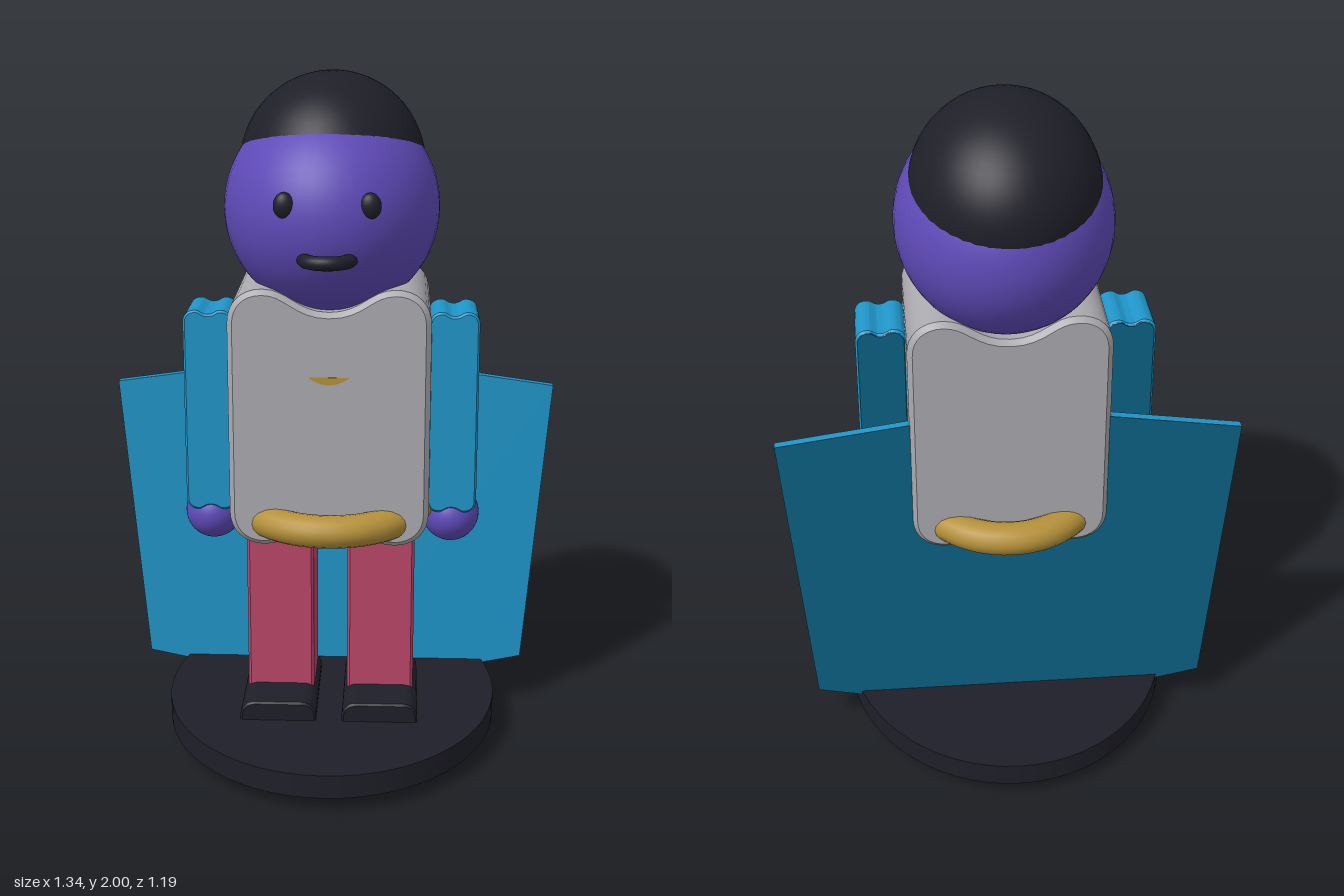
import * as THREE from 'three';
import { toCreasedNormals } from 'three/addons/utils/BufferGeometryUtils.js';

const mat = (name, color) => {
  const m = new THREE.MeshStandardMaterial({ color });
  m.name = name;
  return m;
};

// Soft block: rounded corners with a shallow valley in its top and bottom
function softBlock(w, y0, y1, depth, r, dip, bevel) {
  const h = (y1 - y0) / 2, p = w - r, s = new THREE.Shape();
  s.moveTo(-w, -h + r);
  s.lineTo(-w, h - r);
  s.bezierCurveTo(-w, h - r * 0.4, -p - r * 0.6, h, -p, h);
  s.bezierCurveTo(-p * 0.6, h, -p * 0.5, h - dip, 0, h - dip);
  s.bezierCurveTo(p * 0.5, h - dip, p * 0.6, h, p, h);
  s.bezierCurveTo(p + r * 0.6, h, w, h - r * 0.4, w, h - r);
  s.lineTo(w, -h + r);
  s.bezierCurveTo(w, -h + r * 0.4, p + r * 0.6, -h, p, -h);
  s.bezierCurveTo(p * 0.6, -h, p * 0.5, -h + dip, 0, -h + dip);
  s.bezierCurveTo(-p * 0.5, -h + dip, -p * 0.6, -h, -p, -h);
  s.bezierCurveTo(-p - r * 0.6, -h, -w, -h + r * 0.4, -w, -h + r);
  const g = new THREE.ExtrudeGeometry(s, {
    depth: depth - 2 * bevel, curveSegments: 8, bevelEnabled: true,
    bevelThickness: bevel, bevelSize: bevel, bevelOffset: -bevel, bevelSegments: 1,
  });
  g.translate(0, (y0 + y1) / 2, -depth / 2 + bevel);
  return toCreasedNormals(g, 0.6);
}

const plate = (shape, depth) => new THREE.ExtrudeGeometry(shape, { depth, bevelEnabled: false });

export function createModel() {
  const root = new THREE.Group();
  root.name = 'capedFigure';
  const skin = mat('purpleSkin', 0x5f4ab8), dark = mat('charcoal', 0x1f1f29);
  const grey = mat('greyTunic', 0xabaaaf), pink = mat('pinkTrousers', 0xbb476a);
  const teal = mat('tealCloth', 0x1f95c8), deepTeal = mat('deepTealBack', 0x0d6286);
  const gold = mat('goldTrim', 0xb5913a);

  const add = (name, geometry, material, x = 0, y = 0, z = 0) => {
    const m = new THREE.Mesh(geometry, material);
    m.name = name;
    m.position.set(x, y, z);
    root.add(m);
    return m;
  };

  // Oval stand
  add('base', new THREE.CylinderGeometry(0.5, 0.5, 0.07, 64), dark, 0, 0.08, 0).scale.z = 1.19;

  // Flat cape behind the body, with a deeper colour on its back
  const cape = new THREE.Shape([
    [-0.672, 1.035], [-0.597, 0.13], [0, 0.003], [0.597, 0.13], [0.672, 1.035], [0, 1.13],
  ].map(([x, y]) => new THREE.Vector2(x, y)));
  add('cape', plate(cape, 0.024), teal, 0, 0, -0.22);
  add('capeBack', plate(cape, 0.003), deepTeal, 0, 0, -0.223);

  // Torso, belt ring and small chest badge
  add('torso', softBlock(0.288, 0.662, 1.42, 0.472, 0.1, 0.065, 0.015), grey);
  const belt = new THREE.TorusGeometry(0.26, 0.047, 16, 64).rotateX(Math.PI / 2);
  add('belt', belt, gold, 0, 0.728, 0).scale.z = 1.125;
  const badge = new THREE.Shape();
  badge.moveTo(-0.06, 0.01);
  badge.quadraticCurveTo(0, -0.035, 0.06, 0.01);
  badge.lineTo(-0.06, 0.01);
  add('chestBadge', plate(badge, 0.002), gold, 0, 1.16, 0.235);

  // Paired limbs
  const arm = softBlock(0.0725, 0.72, 1.328, 0.19, 0.036, 0.012, 0.006);
  const armBack = softBlock(0.068, 0.725, 1.323, 0.008, 0.034, 0.012, 0.002);
  const leg = softBlock(0.1, 0.017, 0.72, 0.245, 0.04, 0.013, 0.008);
  const shoe = softBlock(0.113, 0.075, 0.172, 0.375, 0.045, 0, 0.006);
  const ball = new THREE.SphereGeometry(1, 48, 32);
  for (const [side, s] of [['left', 1], ['right', -1]]) {
    add(side + 'Arm', arm, teal, s * 0.3575);
    add(side + 'ArmBack', armBack, deepTeal, s * 0.3575, 0, -0.0925);
    add(side + 'Hand', ball, skin, s * 0.357, 0.692, 0).scale.set(0.086, 0.085, 0.105);
    add(side + 'Leg', leg, pink, s * 0.15);
    add(side + 'Shoe', shoe, dark, s * 0.151, 0, 0.073);
    add(side + 'Eye', ball, dark, s * 0.116, 1.673, 0.332).scale.set(0.03, 0.036, 0.022);
  }

  // Head, with hair rising out of it towards the back
  add('head', ball, skin, 0, 1.62, 0).scale.set(0.31, 0.31, 0.37);
  add('hair', ball, dark, 0, 1.732, -0.041).scale.set(0.268, 0.268, 0.319);

  // Mouth: half ring standing out from the face
  const mouth = new THREE.TorusGeometry(0.064, 0.02, 12, 24, Math.PI).rotateX(Math.PI / 2);
  add('mouth', mouth, dark, 0, 1.526, 0.325);
  return root;
}
